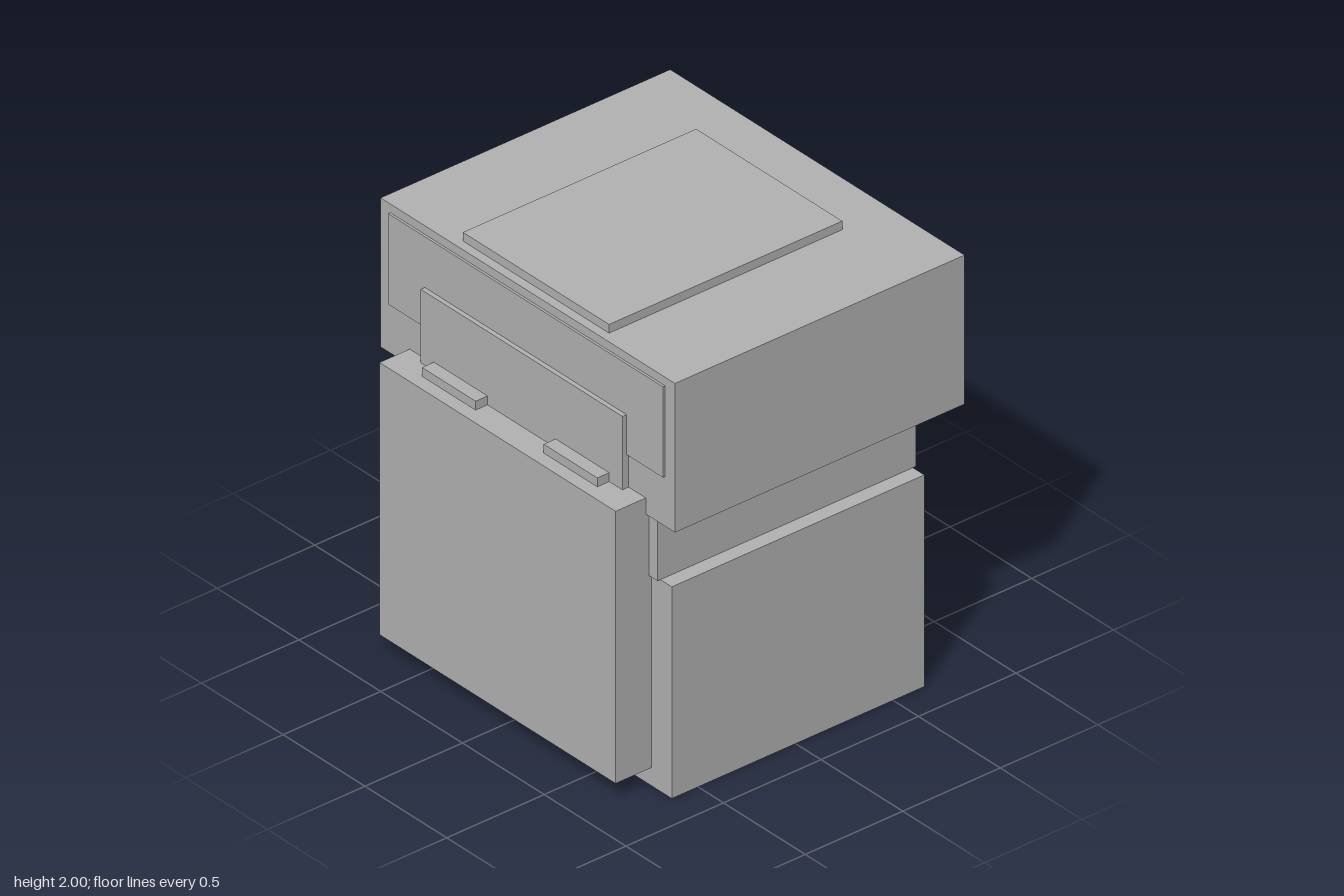
import * as THREE from 'three';

export function createModel() {
  const model = new THREE.Group();
  const grey = new THREE.MeshStandardMaterial({ color: 0xb2b2b2 });
  grey.name = 'plain grey';

  // Box given by its extents along each axis
  const block = (name, [x0, x1], [y0, y1], [z0, z1]) => {
    const mesh = new THREE.Mesh(new THREE.BoxGeometry(x1 - x0, y1 - y0, z1 - z0), grey);
    mesh.position.set((x0 + x1) / 2, (y0 + y1) / 2, (z0 + z1) / 2);
    mesh.name = name;
    model.add(mesh);
  };

  // Stacked main volumes
  block('lowerBody', [-0.845, 0.845], [0, 0.98], [-0.66, 0.635]);
  block('neck', [-0.775, 0.775], [0.98, 1.27], [-0.675, 0.65]);
  block('upperBody', [-0.9, 0.9], [1.27, 1.96], [-0.82, 0.665]);
  block('topPlate', [-0.447, 0.447], [1.96, 2], [-0.573, 0.623]);

  // Layered front panels
  block('upperPanel', [-0.84, 0.84], [1.5, 1.92], [0.665, 0.676]);
  block('middlePanel', [-0.617, 0.617], [1.345, 1.685], [0.665, 0.697]);
  block('frontDoor', [-0.722, 0.722], [0.085, 1.345], [0.635, 0.82]);

  // Pair of tabs on the top edge of the door
  for (const [name, x] of [['rightTab', -0.372], ['leftTab', 0.372]]) {
    block(name, [x - 0.164, x + 0.164], [1.345, 1.386], [0.697, 0.758]);
  }
  return model;
}
